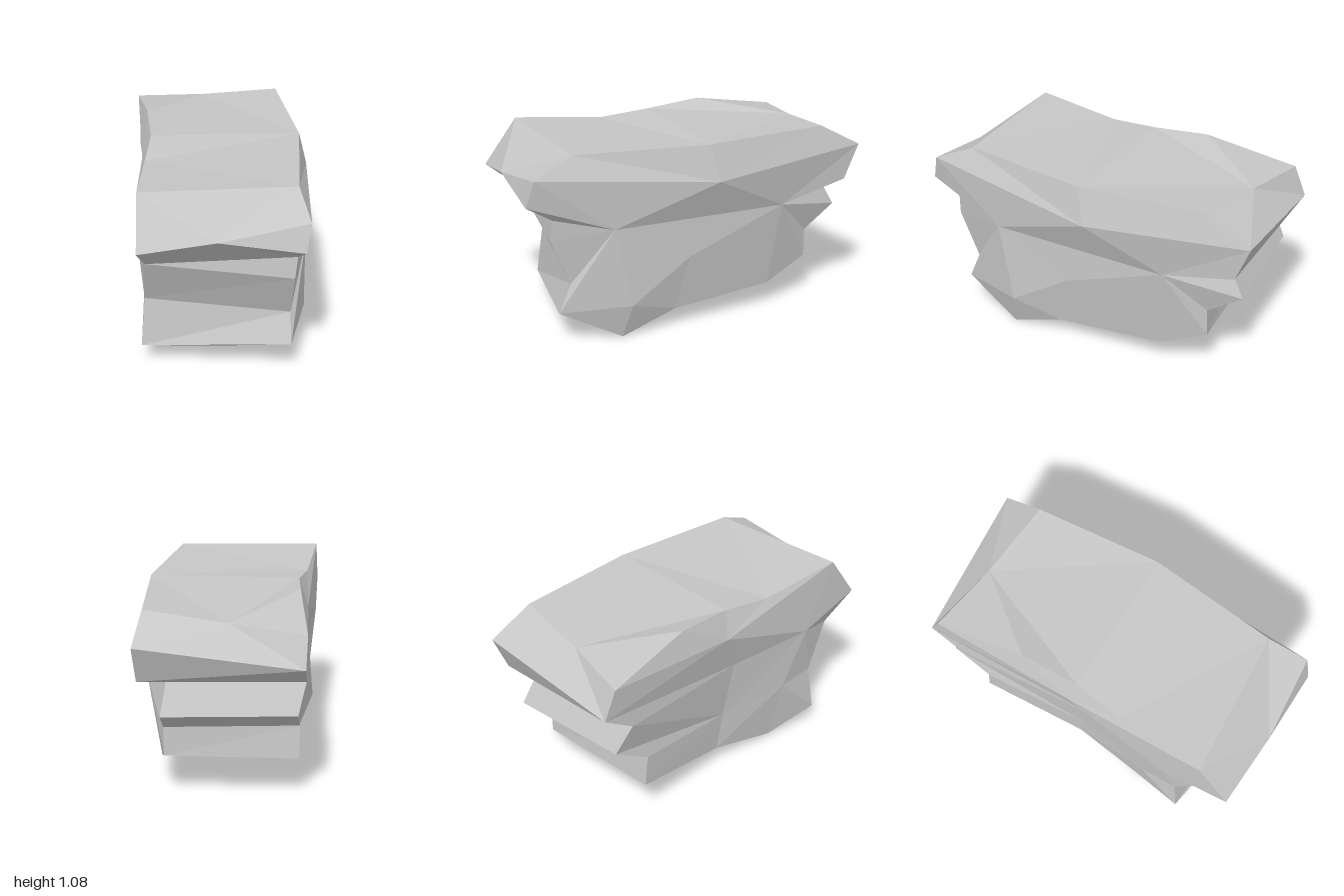
import * as THREE from 'three';

// Rim of the left (+x) side: front foot, up the front, over the top, down the back
const R = [
  [.365, 0, .48], [.285, .18, .82], [.29, .34, .75], [.285, .6, .86], [.3, .72, .85],
  [.31, .815, 1], [.34, .96, .96], [.32, 1.06, .73], [.32, 1.06, .73], [.47, 1.05, 0],
  [.47, 1.055, -.73], [.51, .925, -.97], [.495, .725, -.89], [.35, .7, -.82],
  [.38, .54, -.905], [.375, .41, -.71], [.372, .25, -.715], [.4, .14, -.44], [.395, .11, .17],
];
// Matching rim of the right (-x) side (repeated points merge two rows into one corner)
const L = [
  [-.4, .025, .3], [-.495, .11, .605], [-.47, .385, .575], [-.475, .66, .705], [-.475, .66, .705],
  [-.53, .81, .885], [-.505, 1.065, .7], [-.505, 1.065, .7], [-.42, 1.02, .2], [-.36, 1.05, -.08],
  [-.35, 1.075, -.41], [-.36, .98, -.93], [-.35, .82, -1], [-.365, .7, -.82],
  [-.32, .545, -.905], [-.343, .41, -.69], [-.34, .23, -.71], [-.33, .115, -.1], [-.33, .115, -.1],
];
const N = R.length;

export function createModel() {
  const group = new THREE.Group();
  const stone = new THREE.MeshStandardMaterial({ color: 0xc6c6c6 });
  stone.name = 'light stone grey';
  stone.flatShading = true;

  function addPart(name, build) {
    const pos = [];
    const same = (a, b) => a.every((v, i) => v === b[i]);
    const tri = (a, b, c) => {
      if (!same(a, b) && !same(b, c) && !same(a, c)) pos.push(...a, ...b, ...c);
    };
    build(tri);
    const geo = new THREE.BufferGeometry();
    geo.setAttribute('position', new THREE.Float32BufferAttribute(pos, 3));
    geo.computeVertexNormals();
    const mesh = new THREE.Mesh(geo, stone);
    mesh.name = name;
    group.add(mesh);
  }

  // Facets around one raised point
  const fan = (tri, centre, loop) =>
    loop.forEach((p, i) => tri(centre, p, loop[(i + 1) % loop.length]));

  // Band of facets joining the two rims from one row to another
  const strip = (tri, from, to) => {
    for (let i = from; i < to; i++) {
      const j = (i + 1) % N;
      tri(L[i], R[i], R[j]);
      tri(L[i], R[j], L[j]);
    }
  };

  // Side wall: each inner point [point, first, last] fans over a stretch of rim
  const sideWall = (rim, inner, flip) => (tri) => {
    const put = (a, b, c) => (flip ? tri(a, c, b) : tri(a, b, c));
    inner.forEach(([p, first, last], k) => {
      for (let i = first; i < last; i++) put(p, rim[i % N], rim[(i + 1) % N]);
      put(p, rim[last % N], inner[(k + 1) % inner.length][0]);
      if (k > 0 && k < inner.length - 1) put(inner[0][0], p, inner[k + 1][0]);
    });
  };

  addPart('frontFace', (tri) => strip(tri, 1, 4));
  addPart('frontBrow', (tri) =>
    fan(tri, [-.13, .88, .95], [L[4], R[4], R[5], R[6], R[7], L[7], L[5]]));
  addPart('top', (tri) => {
    strip(tri, 7, 9);
    fan(tri, [.03, 1.01, -.82], [R[9], R[10], R[11], L[12], L[11], L[10], L[9]]);
  });
  addPart('backFace', (tri) => {
    tri(L[12], R[11], R[12]);
    strip(tri, 12, 16);
  });
  addPart('underside', (tri) => {
    strip(tri, 16, N);
    fan(tri, [-.05, .065, .6], [L[0], R[0], R[1], L[1]]);
  });

  addPart('leftSide', sideWall(R, [
    [[.405, .645, .54], 1, 6],
    [[.525, .85, -.04], 6, 11],
    [[.47, .63, -.48], 11, 17],
    [[.44, .42, .1], 17, 18],
    [[.43, .2, .45], 18, 20],
  ], true));
  addPart('rightSide', sideWall(L, [
    [[-.495, .7, .49], 2, 6],
    [[-.41, .9, -.12], 7, 12],
    [[-.37, .665, -.01], 12, 13],
    [[-.34, .34, -.06], 13, 17],
    [[-.45, .37, .35], 18, 21],
  ], false));

  return group;
}
